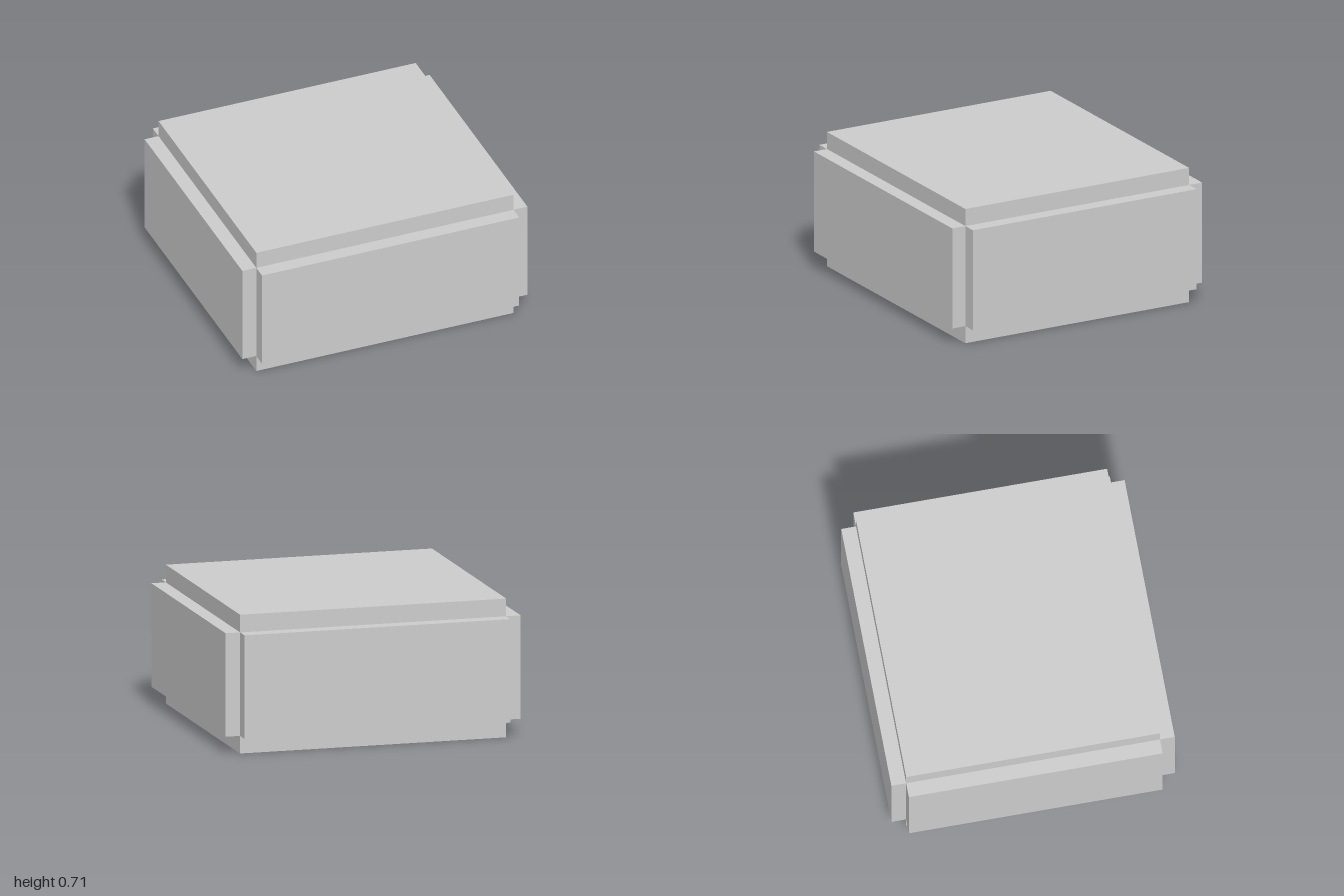
import * as THREE from 'three';

const WIDTH = 1.302, DEPTH = 1.402, HEIGHT = 0.715; // core block
const PANEL_HEIGHT = 0.533, PANEL_THICKNESS = 0.076; // raised side panels

export function createModel() {
  const group = new THREE.Group();
  group.name = 'panelledBlock';
  const material = new THREE.MeshStandardMaterial({ color: 0xcccccc, flatShading: true });

  const addBox = (name, w, h, d, x, z) => {
    const mesh = new THREE.Mesh(new THREE.BoxGeometry(w, h, d), material);
    mesh.name = name;
    mesh.position.set(x, HEIGHT / 2, z);
    group.add(mesh);
  };

  addBox('core', WIDTH, HEIGHT, DEPTH, 0, 0);

  // One panel on each side, as long as the core face it sits on
  for (const s of [1, -1]) {
    addBox(s > 0 ? 'leftPanel' : 'rightPanel', PANEL_THICKNESS, PANEL_HEIGHT, DEPTH,
      s * (WIDTH + PANEL_THICKNESS) / 2, 0);
    addBox(s > 0 ? 'frontPanel' : 'backPanel', WIDTH, PANEL_HEIGHT, PANEL_THICKNESS,
      0, s * (DEPTH + PANEL_THICKNESS) / 2);
  }

  // The whole block stands turned about the vertical axis
  group.rotation.y = THREE.MathUtils.degToRad(-30.5);
  return group;
}
